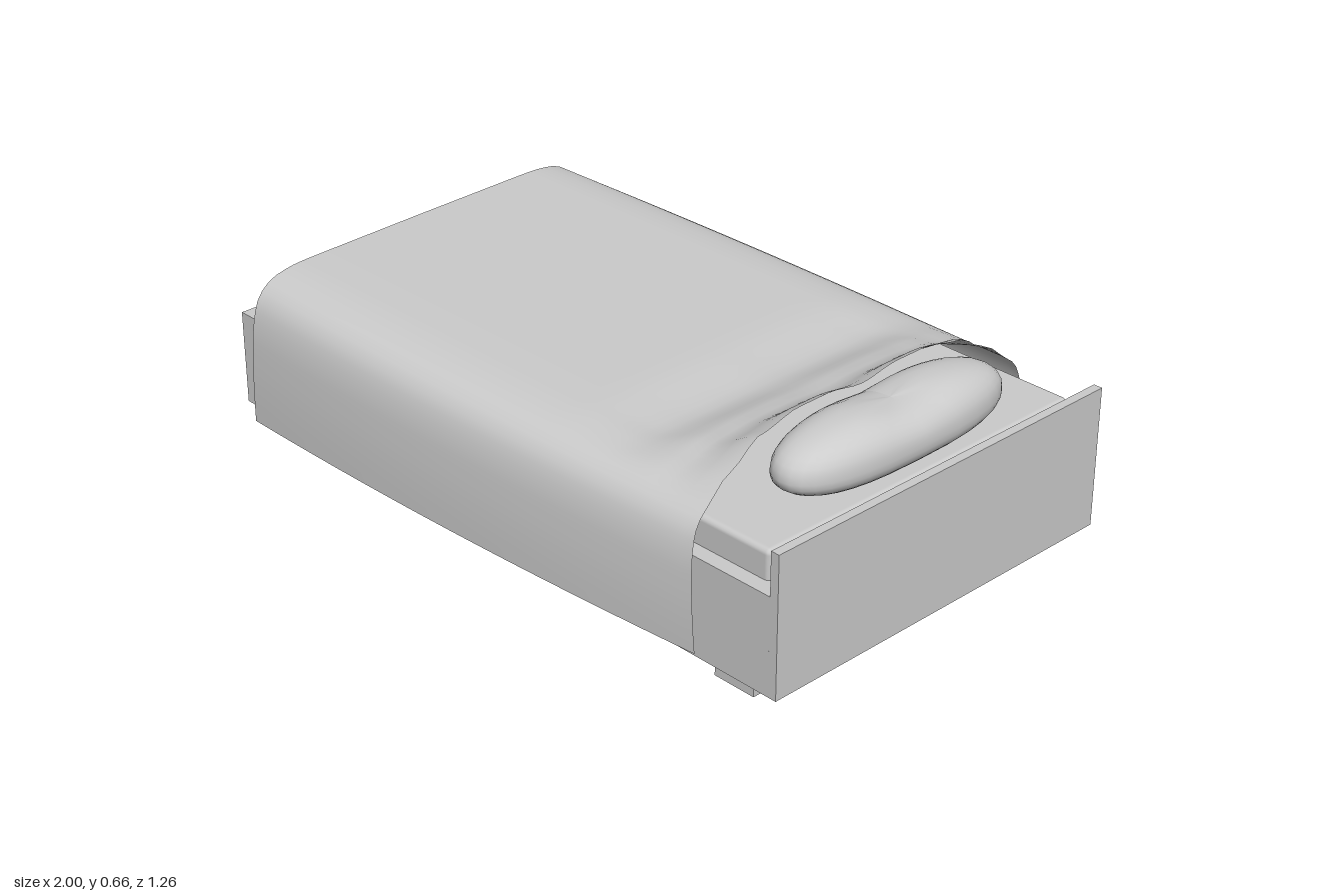
import * as THREE from 'three';
import { RoundedBoxGeometry } from 'three/addons/geometries/RoundedBoxGeometry.js';

const grey = new THREE.MeshStandardMaterial({ color: 0xcccccc });
const cloth = new THREE.MeshStandardMaterial({ color: 0xcccccc, side: THREE.DoubleSide });

// Piecewise interpolation through [x, y] pairs, eased between them
function ramp(points, x) {
  if (x <= points[0][0]) return points[0][1];
  for (let i = 1; i < points.length; i++) {
    const [x0, y0] = points[i - 1], [x1, y1] = points[i];
    if (x <= x1) return THREE.MathUtils.lerp(y0, y1, THREE.MathUtils.smoothstep(x, x0, x1));
  }
  return points[points.length - 1][1];
}

export function createModel() {
  const bed = new THREE.Group();
  bed.name = 'bed';

  const add = (name, geometry, x = 0, y = 0, z = 0, material = grey) => {
    const mesh = new THREE.Mesh(geometry, material);
    mesh.name = name;
    mesh.position.set(x, y, z);
    bed.add(mesh);
    return mesh;
  };
  // Box given by its minimum and maximum corners
  const box = (name, x0, x1, y0, y1, z0, z1) => add(name,
    new THREE.BoxGeometry(x1 - x0, y1 - y0, z1 - z0), (x0 + x1) / 2, (y0 + y1) / 2, (z0 + z1) / 2);

  // Frame with a bevelled underside
  box('frame', -1, 0.975, 0.14, 0.41, -0.57, 0.57);
  const bevel = new THREE.BoxGeometry(2, 0.03, 1.14).toNonIndexed();
  const bp = bevel.attributes.position;
  for (let i = 0; i < bp.count; i++) {
    if (bp.getY(i) < 0) {
      bp.setX(i, bp.getX(i) < 0 ? -0.91 : 0.88);
      bp.setZ(i, Math.sign(bp.getZ(i)) * 0.513);
    }
  }
  bevel.computeVertexNormals();
  add('frameUnderside', bevel, 0, 0.125, 0);
  box('headboard', 0.975, 1, 0.14, 0.53, -0.57, 0.57);

  // Four square legs
  for (const x of [-0.775, 0.745]) {
    for (const z of [-0.38, 0.38]) box('leg', x - 0.065, x + 0.065, 0, 0.115, z - 0.065, z + 0.065);
  }

  add('mattress', new RoundedBoxGeometry(1.89, 0.14, 1.06, 2, 0.015), -0.015, 0.42, -0.003);

  // Pillow: a squared-off ellipsoid, pinched in the middle
  const pillow = new THREE.SphereGeometry(1, 32, 20);
  const pp = pillow.attributes.position;
  const square = (v, e) => Math.sign(v) * Math.pow(Math.abs(v), e);
  for (let i = 0; i < pp.count; i++) {
    const z = square(pp.getZ(i), 0.7) * 0.375;
    const pinch = 1 - 0.18 * Math.exp(-((z / 0.09) ** 2));
    const y = pp.getY(i);
    pp.setXYZ(i, square(pp.getX(i), 0.9) * 0.12, square(y, 0.85) * (y > 0 ? 0.1 * pinch : 0.075), z);
  }
  pillow.computeVertexNormals();
  add('pillow', pillow, 0.805, 0.557, -0.005);

  // Blanket: half cross-section from the centre to just above the hem
  const section = new THREE.CatmullRomCurve3([
    [0, 0.54], [0.2, 0.54], [0.36, 0.54], [0.46, 0.536], [0.53, 0.518], [0.572, 0.48],
    [0.596, 0.41], [0.61, 0.3], [0.617, 0.2], [0.62, 0.12],
  ].map(([z, y]) => new THREE.Vector3(0, y, z)), false, 'centripetal');
  const lift = [[-1, 0], [0.2, 0], [0.4, -0.014], [0.58, 0.04], [0.74, 0.125]];
  const liftAcross = [[0, 0.86], [0.12, 1], [0.22, 1], [0.35, 0.8], [0.45, 0.36], [0.54, 0.02], [0.58, 0]];
  const nx = 48, ns = 32;
  const verts = [], index = [];
  for (let i = 0; i <= nx; i++) {
    const u = i / nx;
    for (let j = -ns; j <= ns; j++) {
      const side = Math.sign(j), p = section.getPointAt(Math.abs(j) / ns);
      const drop = Math.max(0, (0.54 - p.y) / 0.42);
      // The ends lean along the drop, skewed from one side to the other
      const foot = -0.937 + (side > 0 ? 0.02 : -0.015) * Math.min(1, p.z / 0.6);
      const head = 0.72 + (side > 0 ? 0.055 : 0.018) * (0.35 * Math.min(1, p.z / 0.6) ** 3 + 0.65 * drop);
      const x = THREE.MathUtils.lerp(foot, head, u);
      // The sides bulge in the middle of the length, and the hem rises toward the head
      const bulge = p.z > 0.45 ? 0.022 * ((p.z - 0.45) / 0.17) * (1 - (2 * u - 1) ** 2) - 0.012 * drop : 0;
      const hem = side > 0 ? 0.125 + 0.055 * u : 0.19;
      const y = 0.54 - drop * (0.54 - hem) + ramp(lift, x) * ramp(liftAcross, p.z);
      verts.push(x, y, side * (p.z + bulge));
    }
  }
  const row = 2 * ns + 1;
  for (let i = 0; i < nx; i++) {
    for (let j = 0; j < row - 1; j++) {
      const a = i * row + j, b = a + row;
      index.push(a, a + 1, b, b, a + 1, b + 1);
    }
  }
  const blanket = new THREE.BufferGeometry();
  blanket.setAttribute('position', new THREE.Float32BufferAttribute(verts, 3));
  blanket.setIndex(index);
  blanket.computeVertexNormals();
  add('blanket', blanket, 0, 0, 0, cloth);

  return bed;
}
